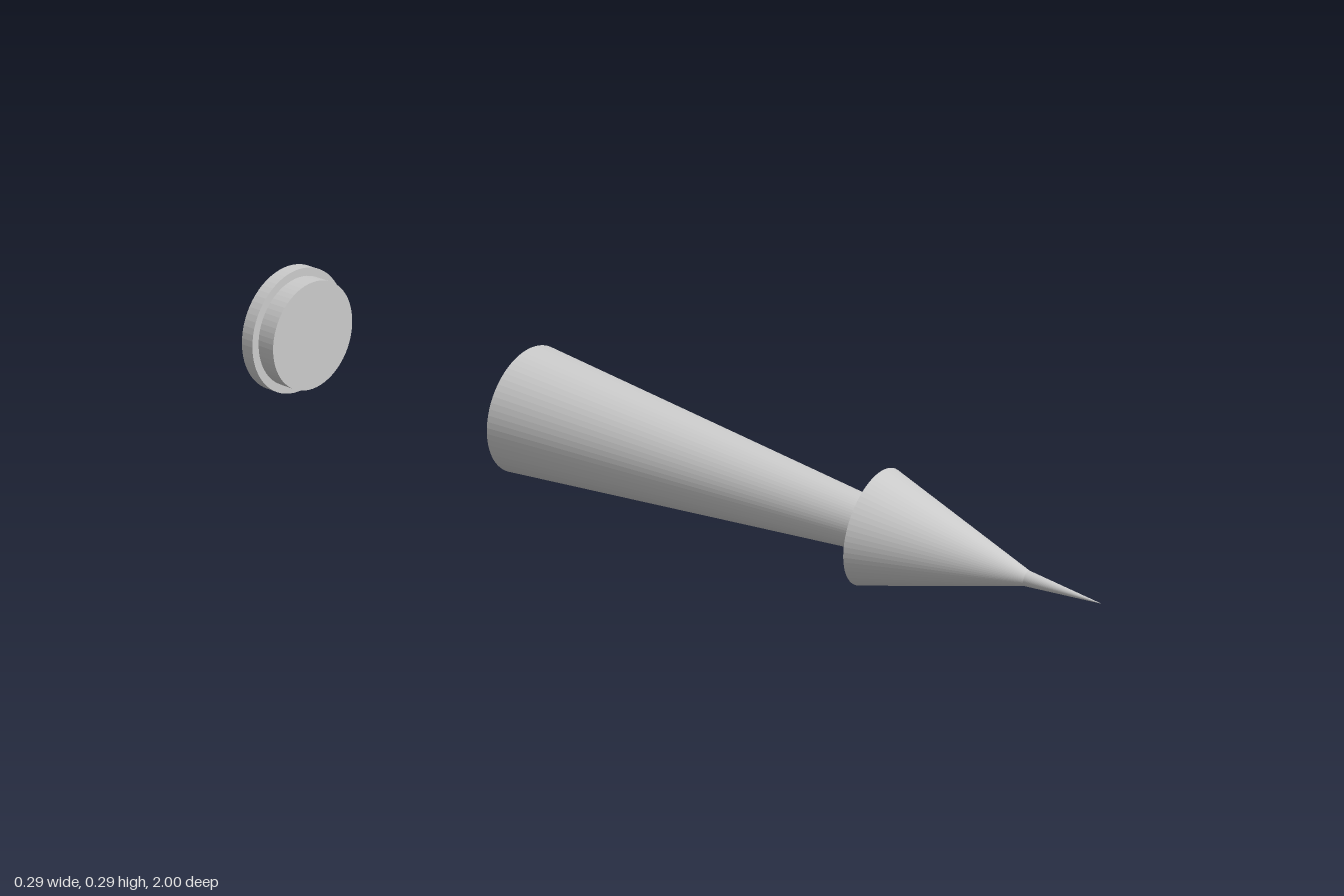
import * as THREE from 'three';

const SIDES = 64;
const AXIS_Y = 0.146;

export function createModel() {
  const group = new THREE.Group();
  const material = new THREE.MeshStandardMaterial({ color: 0xcccccc, flatShading: true });

  // Turned part along z; profile is [radius, z] from back to front
  const turned = (name, profile) => {
    const points = profile.map(([r, z]) => new THREE.Vector2(r, z));
    const geometry = new THREE.LatheGeometry(points, SIDES);
    geometry.rotateX(Math.PI / 2);
    const mesh = new THREE.Mesh(geometry, material);
    mesh.name = name;
    mesh.position.y = AXIS_Y;
    group.add(mesh);
  };

  // Pointed head with a needle tip
  turned('pointedHead', [[0, 0.53], [0.117, 0.53], [0.015, 0.85], [0, 1]]);

  // Tapered shaft, widening to the back
  turned('taperedShaft', [[0, -0.31], [0.138, -0.31], [0.05, 0.53], [0, 0.53]]);

  // Separate stepped end cap: wide rim and narrower plug
  turned('endCap', [
    [0, -1], [0.146, -1], [0.146, -0.968],
    [0.127, -0.968], [0.127, -0.924], [0, -0.924],
  ]);

  return group;
}
